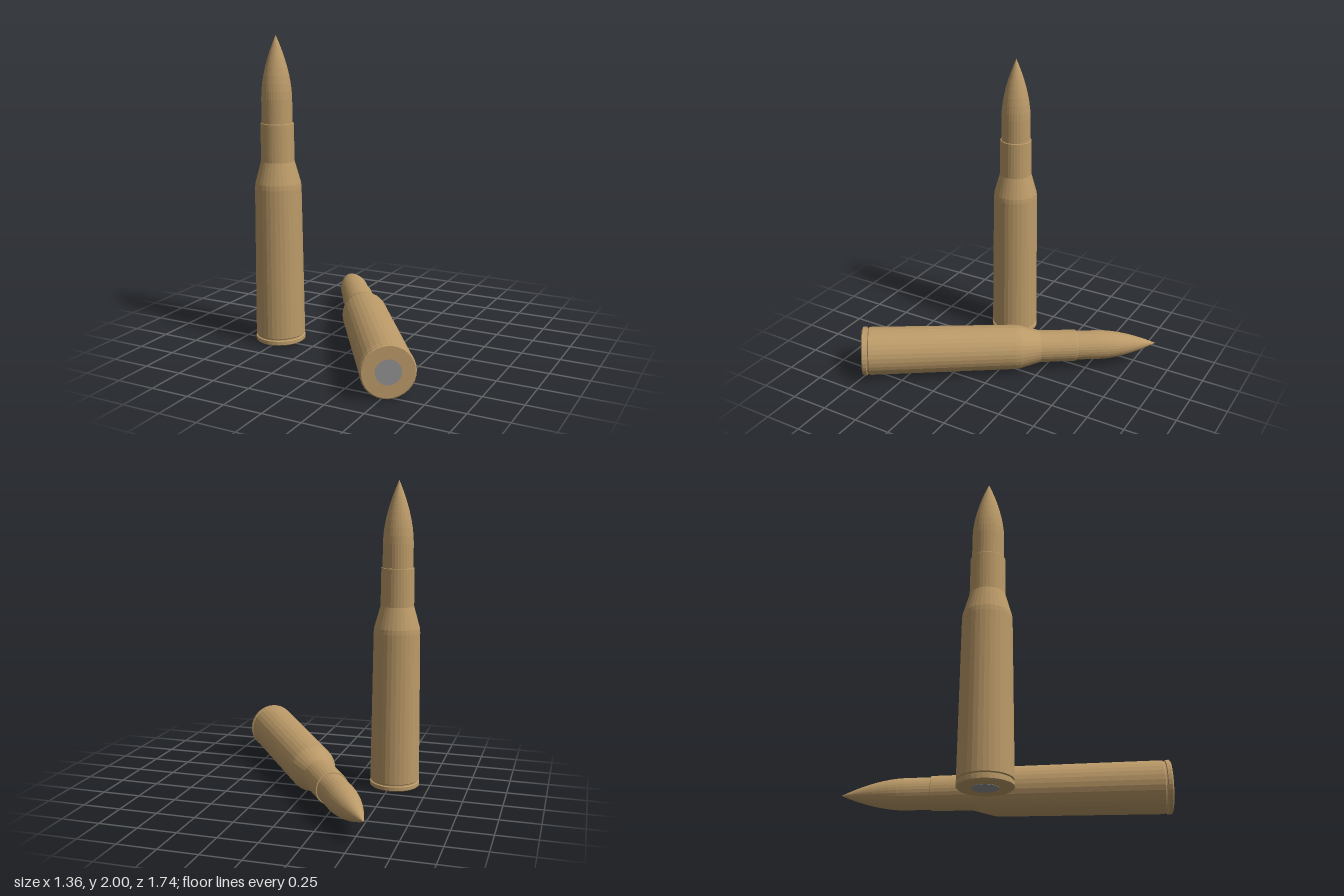
import * as THREE from 'three';

const SIDES = 32;
const brass = new THREE.MeshStandardMaterial({ color: 0xbb9a68, flatShading: true });
const steel = new THREE.MeshStandardMaterial({ color: 0x909090, flatShading: true });
brass.name = 'brass';
steel.name = 'primer grey';

// Turned part from [radius, height] pairs, listed bottom to top
function turned(name, profile, material) {
  const points = profile.map(([r, y]) => new THREE.Vector2(r, y));
  const mesh = new THREE.Mesh(new THREE.LatheGeometry(points, SIDES), material);
  mesh.name = name;
  return mesh;
}

// One round: base at the origin, tip at y = 2
function createRound(name) {
  const round = new THREE.Group();
  round.name = name;

  // Tapered case with rim, extractor groove, shoulder and neck
  round.add(turned('case', [
    [0.077, 0.003], [0.155, 0.003], [0.163, 0.01], [0.163, 0.033], [0.154, 0.037],
    [0.154, 0.044], [0.161, 0.05], [0.15, 1.03], [0.147, 1.06], [0.108, 1.2],
    [0.106, 1.443], [0.104, 1.447], [0.096, 1.447],
  ], brass));

  // Primer cap set into the base
  round.add(turned('primer', [[0, 0.001], [0.077, 0.001], [0.077, 0.004]], steel));

  // Bullet: straight shank, then a curved nose
  const nose = [[0.098, 1.43]];
  for (let i = 0; i <= 8; i++) {
    const t = i / 8;
    nose.push([0.098 * (1 - t ** 1.8), 1.6 + 0.4 * t]);
  }
  round.add(turned('bullet', nose, brass));
  return round;
}

export function createModel() {
  const model = new THREE.Group();
  model.name = 'pairOfRounds';

  const standing = createRound('standingRound');
  standing.position.set(-0.52, 0, 0.205);

  // Lying on its side, base toward the front left
  const lying = createRound('lyingRound');
  lying.position.set(0.545, 0.167, 0.785);
  const direction = new THREE.Vector3(-0.559, -0.013, -0.829).normalize();
  lying.quaternion.setFromUnitVectors(new THREE.Vector3(0, 1, 0), direction);

  model.add(standing, lying);
  return model;
}
